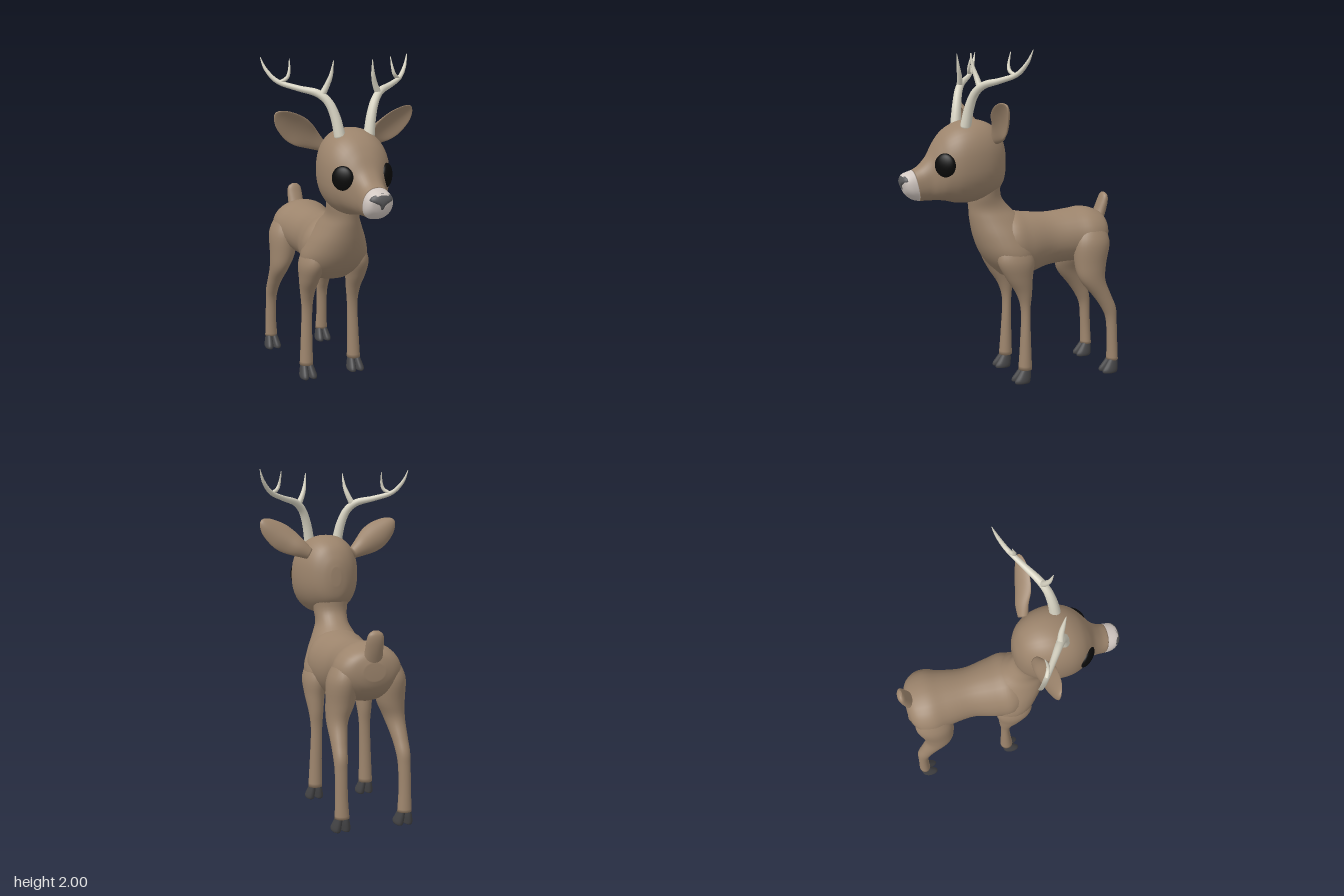
import * as THREE from 'three';

const mat = (color) => new THREE.MeshStandardMaterial({ color, roughness: 0.9 });
const FUR = mat(0x9c846c), ANTLER = mat(0xd9d5c4), HOOF = mat(0x444446);
const MUZZLE = mat(0xd2c8c2), NOSE = mat(0x5a5a5c), EYE = mat(0x0a0a0a);

// Smooth interpolation through a list of numeric rows
function sample(rows, t) {
  const f = t * (rows.length - 1), i = Math.min(Math.floor(f), rows.length - 2), u = f - i;
  const at = (k) => rows[Math.max(0, Math.min(rows.length - 1, k))];
  return rows[0].map((_, k) => {
    const [a, b, c, d] = [at(i - 1)[k], at(i)[k], at(i + 1)[k], at(i + 2)[k]];
    return b + 0.5 * u * (c - a + u * (2 * a - 5 * b + 4 * c - d + u * (3 * (b - c) + d - a)));
  });
}

// Closed skin over cross-sections; place(row, cos, sin, t) gives each point
function loft(rows, place, { sides = 28, steps = 5, power = 1 } = {}) {
  const n = (rows.length - 1) * steps, pos = [], idx = [];
  const bend = (v) => Math.sign(v) * Math.abs(v) ** power;
  for (let j = 0; j <= n; j++) {
    const row = sample(rows, j / n);
    for (let i = 0; i < sides; i++) {
      const a = (i / sides) * Math.PI * 2;
      pos.push(...place(row, bend(Math.cos(a)), bend(Math.sin(a)), j / n));
    }
  }
  for (let j = 0; j < n; j++) for (let i = 0; i < sides; i++) {
    const k = (i + 1) % sides, a = j * sides + i, b = j * sides + k;
    idx.push(a, b, b + sides, a, b + sides, a + sides);
  }
  const c0 = pos.length / 3;
  pos.push(...place(sample(rows, 0), 0, 0, 0), ...place(sample(rows, 1), 0, 0, 1));
  for (let i = 0; i < sides; i++) {
    const k = (i + 1) % sides;
    idx.push(c0, k, i, c0 + 1, n * sides + i, n * sides + k);
  }
  // Turn the faces outward if the enclosed volume is negative
  const p = (i) => new THREE.Vector3().fromArray(pos, i * 3);
  let volume = 0;
  for (let i = 0; i < idx.length; i += 3) volume += p(idx[i]).dot(p(idx[i + 1]).cross(p(idx[i + 2])));
  if (volume < 0) idx.reverse();
  const g = new THREE.BufferGeometry();
  g.setAttribute('position', new THREE.Float32BufferAttribute(pos, 3));
  g.setIndex(idx);
  g.computeVertexNormals();
  return g;
}

// Upright rows [x, y, z, half x, half z]; lengthwise rows [z, top, bottom, half x, slant]
const upright = (r, c, s) => [r[0] + r[3] * c, r[1], r[2] + r[4] * s];
const lengthwise = ([z, top, bottom, w, slant], c, s) => {
  const h = (top - bottom) / 2;
  return [w * c, (top + bottom) / 2 + h * s, z + slant * h * s];
};

// Round tapering branch through rows [x, y, z, radius]
function branch(rows) {
  return loft(rows, (r, c, s, t) => {
    const a = sample(rows, Math.max(0, t - 0.01)), b = sample(rows, Math.min(1, t + 0.01));
    const dir = new THREE.Vector3(b[0] - a[0], b[1] - a[1], b[2] - a[2]).normalize();
    const u = new THREE.Vector3(0.5, 0, 0.85).cross(dir).normalize();
    const v = dir.clone().cross(u);
    return new THREE.Vector3(r[0], r[1], r[2]).addScaledVector(u, r[3] * c).addScaledVector(v, r[3] * s).toArray();
  }, { sides: 12, steps: 6 });
}

export function createModel() {
  const model = new THREE.Group();
  const add = (name, geometry, material) => {
    const m = new THREE.Mesh(geometry, material);
    m.name = name;
    model.add(m);
    return m;
  };

  // Torso
  add('torso', loft([
    [0.1, 1.0, 0.75, 0.14, 0], [0, 1.04, 0.66, 0.195, 0], [-0.1, 1.03, 0.64, 0.185, 0],
    [-0.25, 1.018, 0.685, 0.155, 0], [-0.4, 1.03, 0.7, 0.175, 0], [-0.5, 1.04, 0.7, 0.2, 0],
    [-0.58, 1.02, 0.74, 0.18, 0], [-0.625, 0.99, 0.79, 0.13, 0], [-0.645, 0.94, 0.84, 0.06, 0],
  ], lengthwise), FUR);

  // Neck flowing into the chest: [y, front z, back z, half width]
  add('neckAndChest', loft([
    [1.27, 0.24, 0.05, 0.12], [1.15, 0.255, 0.055, 0.105], [1.07, 0.25, 0.0, 0.1], [1.0, 0.243, -0.08, 0.13],
    [0.9, 0.22, -0.15, 0.18], [0.8, 0.18, -0.17, 0.21], [0.72, 0.125, -0.15, 0.19], [0.65, 0.05, -0.12, 0.1],
  ].map(([y, f, b, w]) => [0, y, (f + b) / 2, w, (f - b) / 2]), upright), FUR);

  // Head, with the pale muzzle sharing its last section
  const seam = [0.582, 1.312, 1.13, 0.082, 0.2];
  add('head', loft([
    [0.03, 1.41, 1.3, 0.03, 0], [0.045, 1.47, 1.22, 0.08, 0], [0.085, 1.54, 1.17, 0.135, 0],
    [0.16, 1.587, 1.13, 0.18, 0], [0.25, 1.6, 1.11, 0.2, 0], [0.34, 1.58, 1.11, 0.196, 0],
    [0.41, 1.535, 1.125, 0.168, 0], [0.46, 1.475, 1.13, 0.128, 0], [0.5, 1.395, 1.13, 0.096, 0.05],
    [0.54, 1.34, 1.13, 0.084, 0.15], seam,
  ], lengthwise, { power: 0.88, sides: 40 }), FUR);
  add('muzzle', loft([
    seam, [0.615, 1.302, 1.138, 0.081, 0.2], [0.64, 1.292, 1.155, 0.073, 0.2],
    [0.657, 1.278, 1.178, 0.056, 0.2], [0.664, 1.25, 1.21, 0.022, 0.2],
  ], lengthwise, { power: 0.88, sides: 40 }), MUZZLE);

  // Nose pad, narrowing downward
  const nose = new THREE.SphereGeometry(1, 28, 20), np = nose.attributes.position;
  for (let i = 0; i < np.count; i++) {
    const k = THREE.MathUtils.smoothstep(np.getY(i), -0.5, 0.15);
    np.setX(i, np.getX(i) * (0.3 + 0.75 * k));
  }
  nose.scale(0.068, 0.05, 0.036).translate(0, 1.245, 0.641);
  nose.computeVertexNormals();
  add('nose', nose, NOSE);

  // Tail
  add('tail', loft([
    [0, 0.93, -0.595, 0.06, 0.045], [0, 1.0, -0.625, 0.052, 0.038], [0, 1.06, -0.645, 0.05, 0.031],
    [0, 1.1, -0.653, 0.042, 0.022], [0, 1.12, -0.652, 0.018, 0.008],
  ], upright), FUR);

  const frontLeg = [
    [0.13, 0.88, 0.01, 0.04, 0.08], [0.145, 0.76, 0.005, 0.075, 0.115], [0.155, 0.65, -0.015, 0.06, 0.083],
    [0.155, 0.55, -0.045, 0.045, 0.048], [0.155, 0.44, -0.055, 0.035, 0.028],
    [0.16, 0.25, -0.053, 0.037, 0.033], [0.163, 0.08, -0.05, 0.043, 0.042],
  ];
  const rearLeg = [
    [0.12, 0.95, -0.51, 0.05, 0.07], [0.14, 0.84, -0.505, 0.085, 0.115], [0.15, 0.7, -0.492, 0.08, 0.102],
    [0.17, 0.6, -0.5, 0.06, 0.083], [0.18, 0.5, -0.56, 0.046, 0.06], [0.185, 0.42, -0.605, 0.04, 0.048],
    [0.187, 0.34, -0.625, 0.036, 0.034], [0.188, 0.2, -0.633, 0.036, 0.033], [0.186, 0.08, -0.637, 0.042, 0.036],
  ];
  const antler = {
    Beam: [[0.09, 1.55, 0.3, 0.033], [0.11, 1.66, 0.285, 0.029], [0.145, 1.75, 0.262, 0.025], [0.2, 1.8, 0.225, 0.022],
      [0.29, 1.825, 0.165, 0.017], [0.385, 1.86, 0.1, 0.014], [0.44, 1.925, 0.06, 0.01], [0.465, 1.995, 0.037, 0.002]],
    InnerTine: [[0.18, 1.78, 0.24, 0.02], [0.15, 1.84, 0.25, 0.016], [0.13, 1.9, 0.265, 0.011], [0.12, 1.98, 0.277, 0.002]],
    OuterTine: [[0.375, 1.855, 0.107, 0.012], [0.34, 1.88, 0.125, 0.011], [0.325, 1.92, 0.125, 0.008], [0.318, 1.985, 0.11, 0.002]],
  };
  // Ear rows: centre, half width, half thickness, forward curl of the rims
  const ear = [
    [0.14, 1.49, 0.13, 0.035, 0.03, 0], [0.2, 1.53, 0.135, 0.06, 0.028, 0.015], [0.26, 1.57, 0.15, 0.081, 0.02, 0.03],
    [0.32, 1.61, 0.16, 0.084, 0.015, 0.03], [0.385, 1.655, 0.17, 0.062, 0.012, 0.022],
    [0.418, 1.68, 0.175, 0.034, 0.009, 0.01], [0.43, 1.69, 0.177, 0.01, 0.004, 0],
  ];
  const across = new THREE.Vector3(-0.52, 0.8, 0.3).normalize();
  const forward = new THREE.Vector3(0.27, 0.17, 0.04).cross(across).normalize();

  for (const s of [1, -1]) {
    const side = s > 0 ? 'left' : 'right';
    const mirror = (rows) => rows.map(([x, ...rest]) => [s * x, ...rest]);

    // Legs with two-toed hooves
    for (const [name, rows] of [['Front', frontLeg], ['Rear', rearLeg]]) {
      add(`${side}${name}Leg`, loft(mirror(rows), upright), FUR);
      const [x, , z] = rows[rows.length - 1];
      for (const toe of [-1, 1]) {
        add(`${side}${name}Hoof`, loft([
          [0.018, 0.09, 0, 0.019, 0.028], [0.022, 0.055, 0.012, 0.024, 0.04], [0.027, 0.02, 0.026, 0.027, 0.05],
          [0.027, 0.004, 0.029, 0.025, 0.048], [0.027, 0, 0.029, 0.02, 0.042],
        ].map(([dx, y, dz, a, b]) => [s * x + toe * dx, y, z + dz, a, b]), upright, { sides: 16, steps: 3 }), HOOF);
      }
    }

    // Antlers
    for (const [name, rows] of Object.entries(antler)) add(`${side}Antler${name}`, branch(mirror(rows)), ANTLER);

    // Ear, cupped toward the front
    add(`${side}Ear`, loft(ear, ([x, y, z, w, h, curl], c, q) => {
      const p = new THREE.Vector3(x, y, z).addScaledVector(across, w * c).addScaledVector(forward, h * q + curl * (c * c - 0.4));
      return [s * p.x, p.y, p.z];
    }), FUR);

    // Eye
    const eye = add(`${side}Eye`, new THREE.SphereGeometry(1, 28, 20), EYE);
    eye.scale.set(0.066, 0.07, 0.03);
    eye.position.set(s * 0.134, 1.345, 0.438);
    eye.rotation.y = s * 0.8;
  }
  return model;
}
